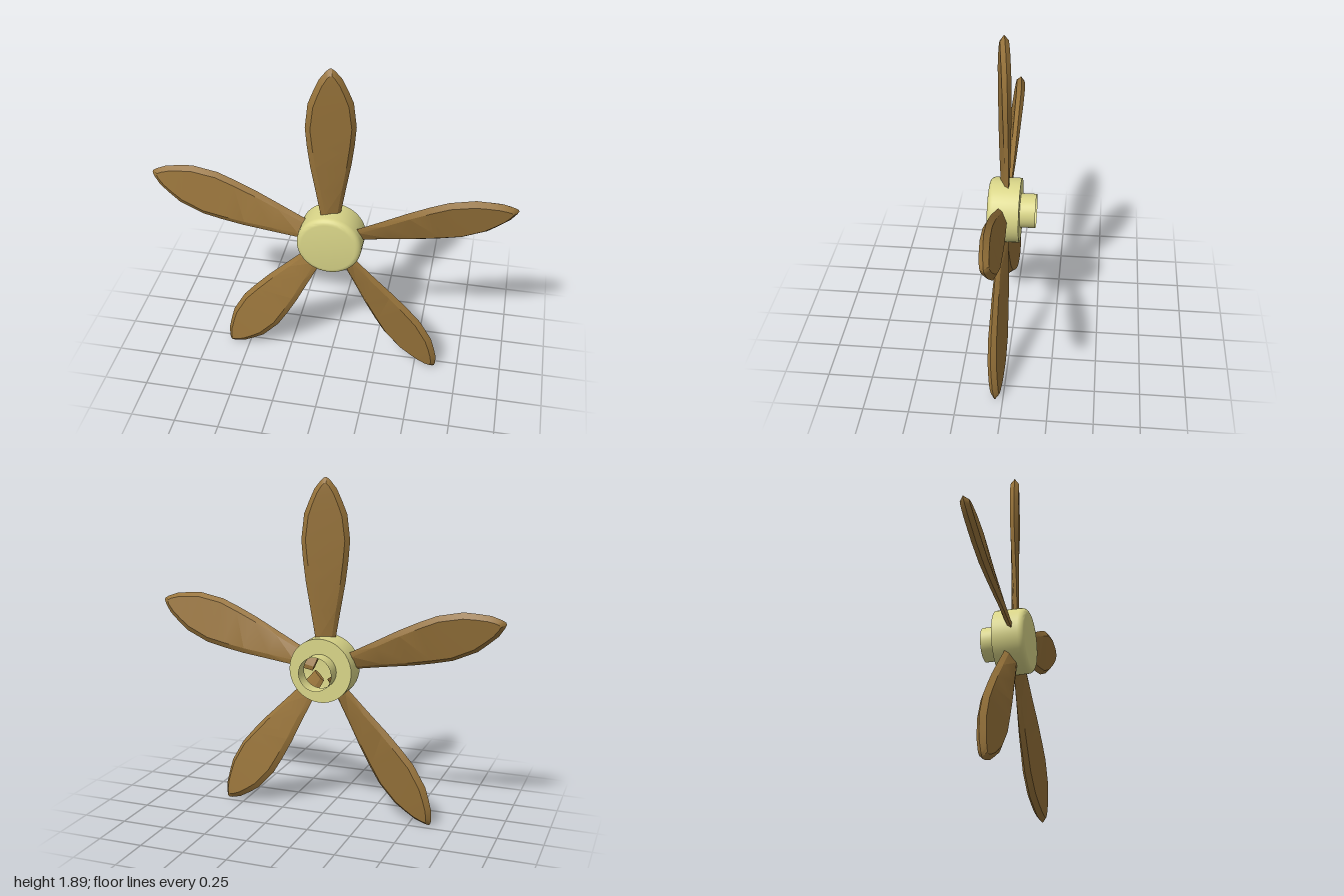
import * as THREE from 'three';
import { toCreasedNormals } from 'three/addons/utils/BufferGeometryUtils.js';

const BLADES = 5;
const HUB_Y = 0.86;
const BLADE_Z = 0.043;

// Blade stations: [edge radius, edge half width, face radius, face half width, half thickness, pitch in degrees]
const STATIONS = [
  [0.06, 0.045, 0.06, 0.025, 0.013, 27],
  [0.18, 0.058, 0.18, 0.034, 0.014, 24],
  [0.33, 0.083, 0.33, 0.057, 0.017, 19],
  [0.48, 0.109, 0.48, 0.082, 0.020, 15],
  [0.60, 0.124, 0.60, 0.097, 0.022, 13],
  [0.71, 0.133, 0.71, 0.107, 0.024, 12],
  [0.85, 0.117, 0.84, 0.091, 0.025, 12],
  [0.92, 0.089, 0.905, 0.068, 0.025, 12],
  [0.985, 0.060, 0.96, 0.045, 0.025, 12],
  [1.03, 0.024, 1.00, 0.020, 0.024, 12],
  [1.045, 0.006, 1.015, 0.005, 0.023, 12],
];

// Six-sided ring across the blade: flat front and back with bevelled edges
function bladeRing([er, ew, fr, fw, t, pitch]) {
  const a = THREE.MathUtils.degToRad(pitch);
  return [[-fw, fr, t], [fw, fr, t], [ew, er, 0], [fw, fr, -t], [-fw, fr, -t], [-ew, er, 0]].map(
    ([x, y, z]) => [x * Math.cos(a) + z * Math.sin(a), y, z * Math.cos(a) - x * Math.sin(a)]);
}

function bladeGeometry() {
  const rings = STATIONS.map(bladeRing);
  const positions = [];
  const quad = (a, b, c, d) => positions.push(...a, ...b, ...c, ...a, ...c, ...d);
  for (let i = 0; i < rings.length - 1; i++) {
    for (let j = 0; j < 6; j++) {
      const k = (j + 1) % 6;
      quad(rings[i][j], rings[i][k], rings[i + 1][k], rings[i + 1][j]);
    }
  }
  // Tip and root caps
  const tip = rings[rings.length - 1];
  quad(tip[0], tip[1], tip[2], tip[5]);
  quad(tip[5], tip[2], tip[3], tip[4]);
  const root = rings[0];
  quad(root[5], root[2], root[1], root[0]);
  quad(root[4], root[3], root[2], root[5]);
  const geometry = new THREE.BufferGeometry();
  geometry.setAttribute('position', new THREE.Float32BufferAttribute(positions, 3));
  return toCreasedNormals(geometry, THREE.MathUtils.degToRad(28));
}

// Surface of revolution about the z axis
function turned(profile) {
  const points = profile.map(([r, z]) => new THREE.Vector2(r, z));
  const geometry = new THREE.LatheGeometry(points, 40).rotateX(Math.PI / 2);
  return toCreasedNormals(geometry, THREE.MathUtils.degToRad(35));
}

export function createModel() {
  const model = new THREE.Group();
  model.name = 'propeller';

  const brown = new THREE.MeshStandardMaterial({ color: 0x97733a });
  brown.name = 'bladeBrown';
  const cream = new THREE.MeshStandardMaterial({ color: 0xd9d588, side: THREE.DoubleSide });
  cream.name = 'hubCream';

  // Hollow hub with a rounded front rim and an open back
  const rim = [];
  for (let i = 0; i <= 5; i++) {
    const a = (i / 5) * Math.PI / 2;
    rim.push([0.148 + 0.032 * Math.cos(a), 0.098 + 0.032 * Math.sin(a)]);
  }
  const hub = new THREE.Mesh(turned([[0.095, -0.045], [0.18, -0.045], ...rim, [0, 0.13]]), cream);
  hub.name = 'hub';
  hub.position.y = HUB_Y;
  model.add(hub);

  // Open shaft sleeve behind the hub
  const sleeve = new THREE.Mesh(turned([[0.095, -0.13], [0.095, -0.045]]), cream);
  sleeve.name = 'shaftSleeve';
  sleeve.position.y = HUB_Y;
  model.add(sleeve);

  // Blades around the hub
  const geometry = bladeGeometry();
  for (let i = 0; i < BLADES; i++) {
    const blade = new THREE.Mesh(geometry, brown);
    blade.name = `blade${i + 1}`;
    blade.position.set(0, HUB_Y, BLADE_Z);
    blade.rotation.z = (i * 2 * Math.PI) / BLADES;
    model.add(blade);
  }
  return model;
}
